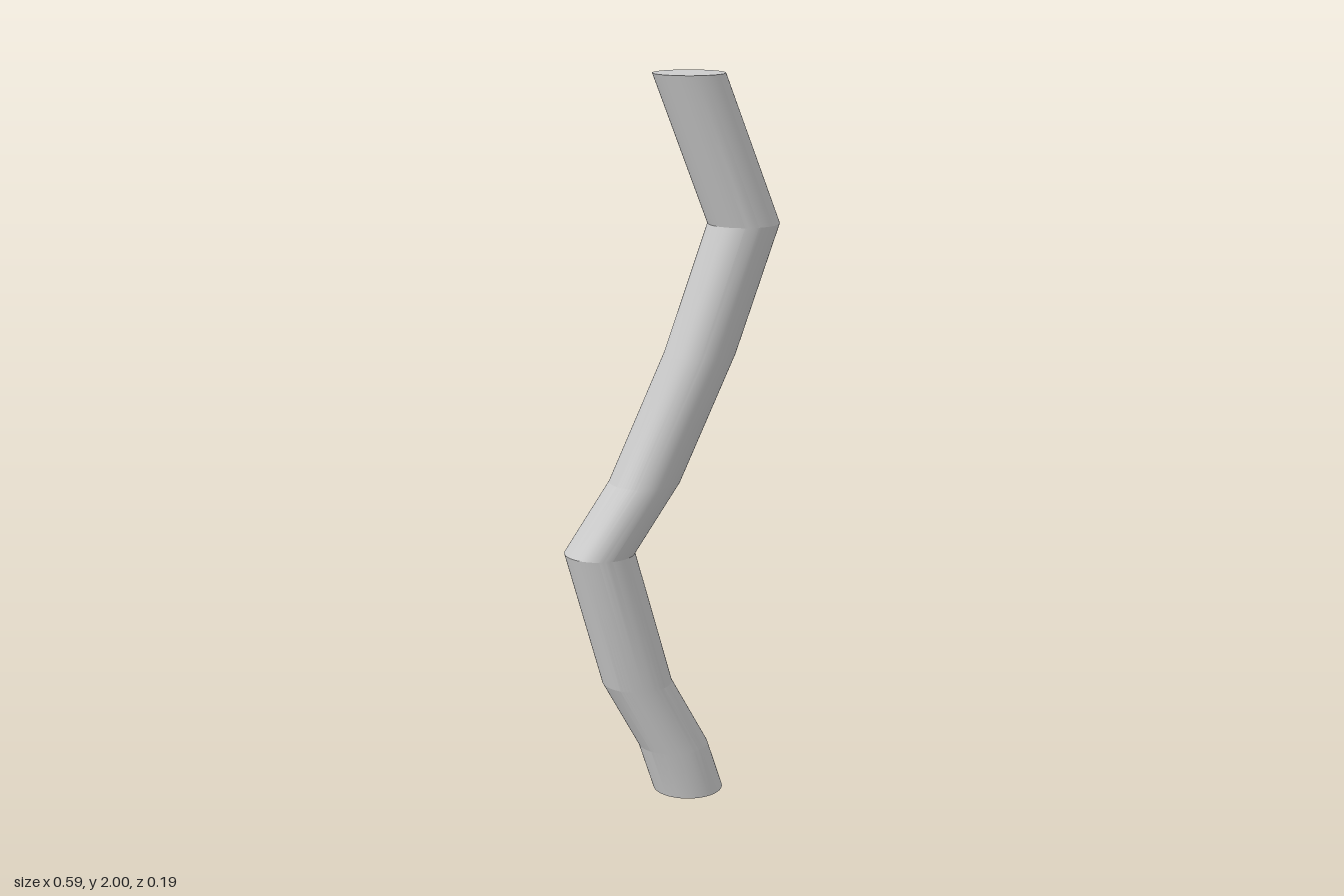
import * as THREE from 'three';
import { toCreasedNormals } from 'three/addons/utils/BufferGeometryUtils.js';

// Centre line of the bent rod: [x, y] at each joint
const JOINTS = [
  [0.048, 0], [0.005, 0.135], [-0.097, 0.325], [-0.2, 0.705],
  [-0.074, 0.9], [0.079, 1.25], [0.198, 1.6], [0.048, 2],
];
const RADIUS = 0.097;

export function createModel() {
  const group = new THREE.Group();
  group.name = 'bentRod';

  // Upright capped cylinder with one ring per joint; each level ring slides to its joint
  const last = JOINTS.length - 1;
  const geometry = new THREE.CylinderGeometry(RADIUS, RADIUS, last, 64, last);
  const position = geometry.attributes.position;
  for (let i = 0; i < position.count; i++) {
    const [x, y] = JOINTS[Math.round(position.getY(i) + last / 2)];
    position.setX(i, position.getX(i) + x);
    position.setY(i, y);
  }

  // Smooth around the rod, sharp at the bends and ends
  const rod = new THREE.Mesh(
    toCreasedNormals(geometry, 0.15),
    new THREE.MeshStandardMaterial({ color: 0xcccccc }),
  );
  rod.name = 'rod';
  group.add(rod);
  return group;
}
